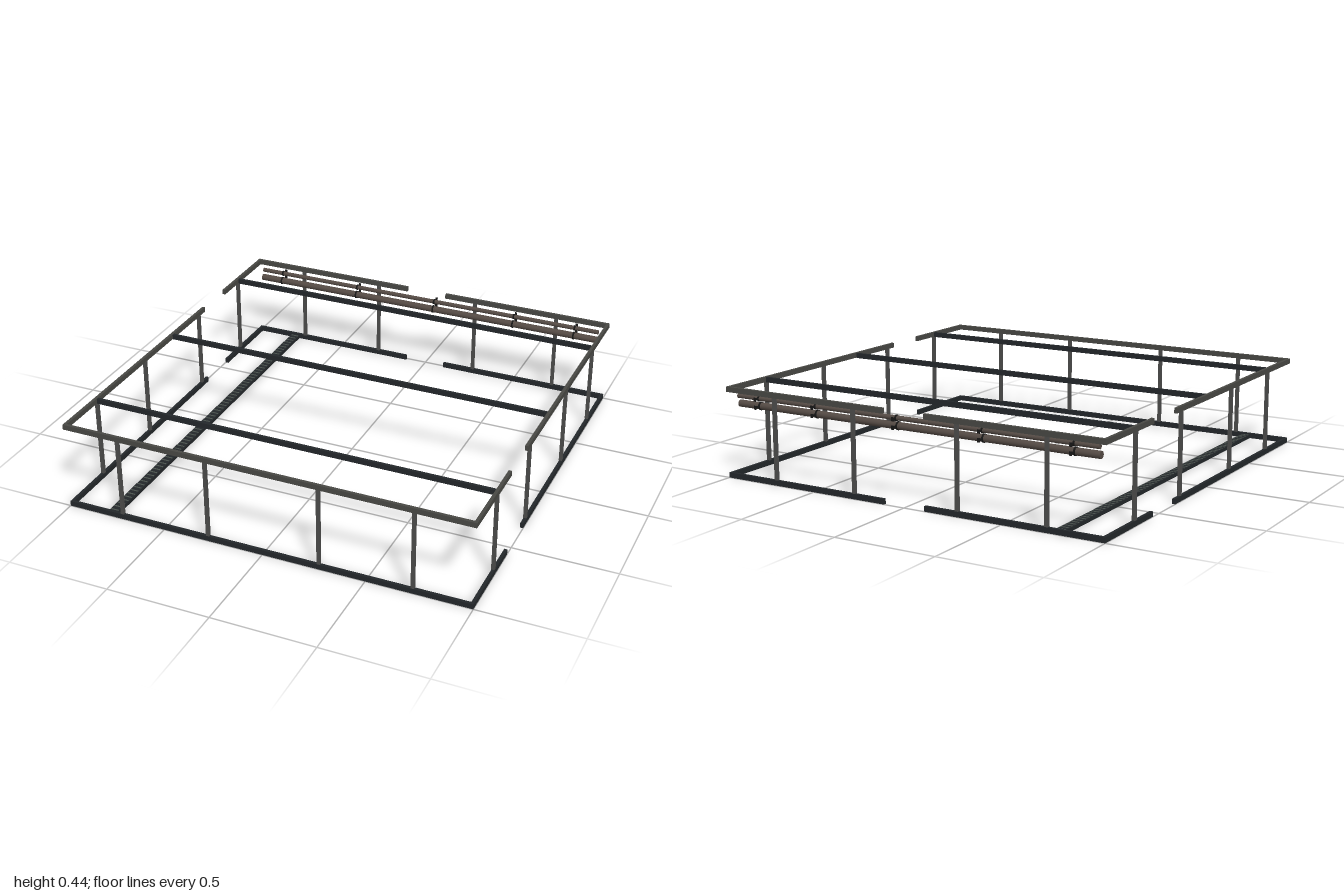
import * as THREE from 'three';

const mat = (name, color) => new THREE.MeshStandardMaterial({ name, color });

export function createModel() {
  const root = new THREE.Group();
  root.name = 'railFrame';
  const railGrey = mat('rail grey', 0x484844);
  const postGrey = mat('post grey', 0x4c4c4b);
  const baseDark = mat('base dark', 0x23272a);
  const pipeBrown = mat('pipe brown grey', 0x544a44);
  const clampBlack = mat('clamp black', 0x161616);
  const slatGrey = mat('slat grey', 0x4c554f);

  const box = (name, w, h, d, x, y, z, material, parent = root) => {
    const m = new THREE.Mesh(new THREE.BoxGeometry(w, h, d), material);
    m.name = name;
    m.position.set(x, y, z);
    parent.add(m);
    return m;
  };

  // Perimeter walls: each is built along x at z = 1, then turned into place
  const T = 0.015;
  const walls = [
    { name: 'frontWall', turn: 0, runs: [[-1, 1]] },
    { name: 'leftWall', turn: Math.PI / 2, runs: [[-1, -0.555], [-0.33, 1]] },
    { name: 'backWall', turn: Math.PI, runs: [[-1, -0.108], [0.108, 1]] },
    { name: 'rightWall', turn: -Math.PI / 2, runs: [[-1, -0.56], [-0.335, 1]] },
  ];
  for (const { name, turn, runs } of walls) {
    const wall = new THREE.Group();
    wall.name = name;
    wall.rotation.y = turn;
    root.add(wall);
    for (const [a, b] of runs) {
      // butt joint at the corner so neighbouring rails do not overlap
      const end = b === 1 ? 1 - T : b;
      const w = end - a, c = (a + end) / 2;
      box('topRail', w, 0.025, T, c, 0.4255, 1 - T / 2, railGrey, wall);
      box('bottomRail', w, 0.025, T, c, 0.0125, 1 - T / 2, baseDark, wall);
    }
    for (const x of [-0.72, -0.275, 0.275, 0.72]) {
      box('post', 0.016, 0.39, 0.016, x, 0.219, 0.991, postGrey, wall);
    }
  }

  // Overhead cross beams
  for (const z of [-0.722, 0, 0.722]) {
    box('crossBeam', 1.97, 0.025, 0.015, 0, 0.424, z, baseDark);
  }

  // Floor channel with slatted cover
  const channel = new THREE.Group();
  channel.name = 'floorChannel';
  root.add(channel);
  box('channelBody', 0.046, 0.018, 1.97, -0.778, 0.009, 0, baseDark, channel);
  const slats = 66;
  for (let i = 0; i < slats; i++) {
    const z = -0.97 + (1.94 * i) / (slats - 1);
    box('slat', 0.04, 0.003, 0.006, -0.778, 0.0185, z, slatGrey, channel);
  }

  // Pipes along the back wall, held by clamps
  const pipes = [
    { name: 'lowerPipe', r: 0.017, y: 0.356, z: -0.952 },
    { name: 'upperPipe', r: 0.011, y: 0.394, z: -0.964 },
  ];
  for (const { name, r, y, z } of pipes) {
    const pipe = new THREE.Mesh(new THREE.CylinderGeometry(r, r, 1.91, 20), pipeBrown);
    pipe.name = name;
    pipe.rotation.z = Math.PI / 2;
    pipe.position.set(0, y, z);
    root.add(pipe);
    for (const x of [-0.835, -0.39, 0.055, 0.5, 0.83]) {
      const clamp = new THREE.Mesh(
        new THREE.CylinderGeometry(r + 0.003, r + 0.003, 0.008, 20), clampBlack);
      clamp.name = 'pipeClamp';
      clamp.rotation.z = Math.PI / 2;
      clamp.position.set(x, y, z);
      root.add(clamp);
      const stub = z - r + 0.998;
      box('clampStub', 0.008, 0.008, stub, x, y, -0.998 + stub / 2, clampBlack);
      box('clampFoot', 0.012, 0.018, 0.004, x, y, -0.997, clampBlack);
    }
  }
  return root;
}
